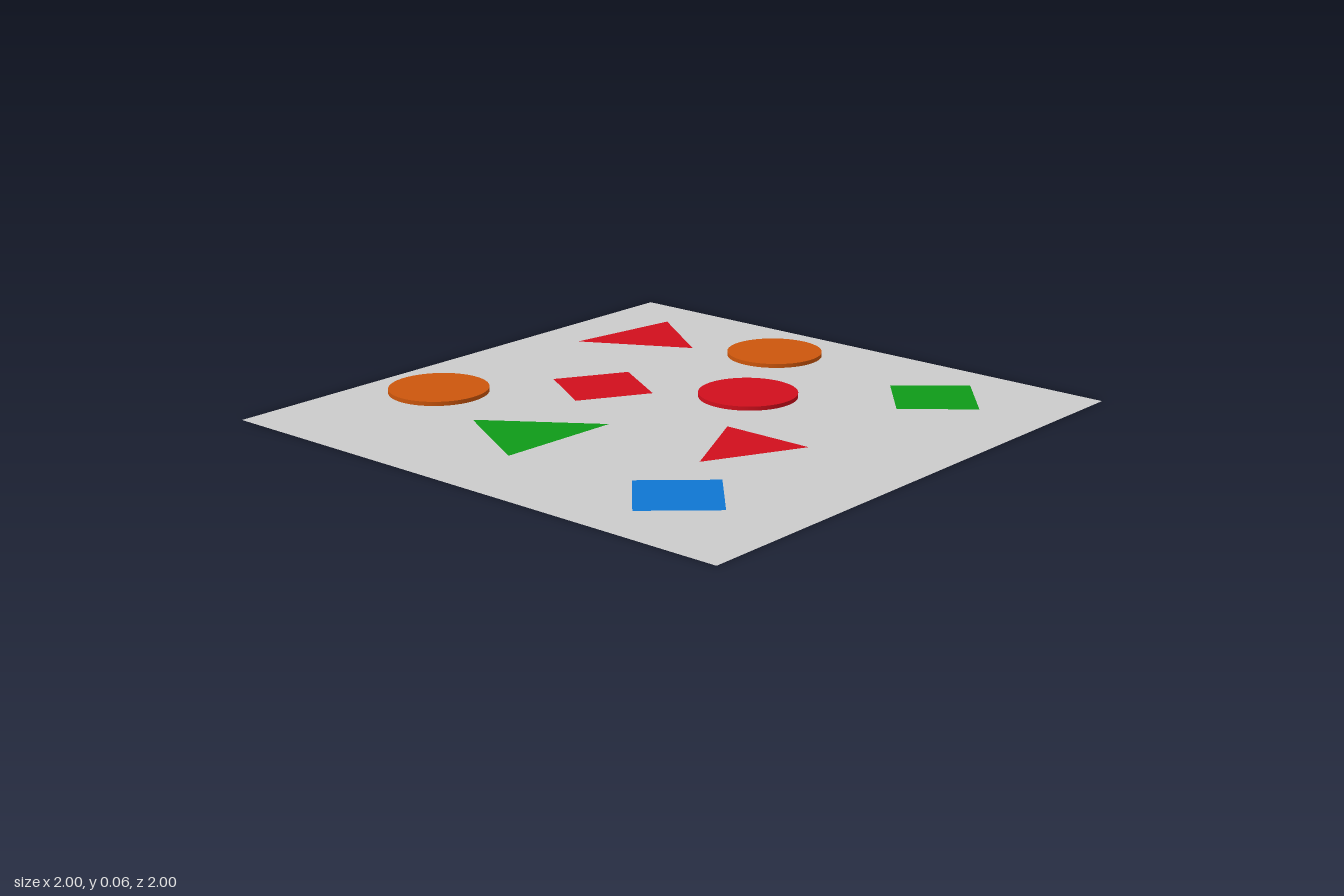
import * as THREE from 'three';

const RED = 0xd10f1c, GREEN = 0x0f9a18, BLUE = 0x0f76d2, ORANGE = 0xcc560c;

function material(color) {
  return new THREE.MeshStandardMaterial({ color, side: THREE.DoubleSide });
}

// Flat polygon lying at height y, corners given as [x, z]
function flatPolygon(name, color, y, corners) {
  const shape = new THREE.Shape(corners.map(([x, z]) => new THREE.Vector2(x, -z)));
  const geometry = new THREE.ShapeGeometry(shape).rotateX(-Math.PI / 2);
  const mesh = new THREE.Mesh(geometry, material(color));
  mesh.name = name;
  mesh.position.y = y;
  return mesh;
}

// Flat square from its centre and one corner offset
function flatSquare(name, color, y, [cx, cz], [dx, dz]) {
  return flatPolygon(name, color, y, [
    [cx + dx, cz + dz], [cx - dz, cz + dx], [cx - dx, cz - dz], [cx + dz, cz - dx],
  ]);
}

// Thin round disc
function disc(name, color, x, y, z) {
  const mesh = new THREE.Mesh(new THREE.CylinderGeometry(0.167, 0.167, 0.014, 64), material(color));
  mesh.name = name;
  mesh.position.set(x, y, z);
  return mesh;
}

export function createModel() {
  const model = new THREE.Group();
  model.name = 'shapeBoard';

  // Base sheet
  const board = new THREE.Mesh(new THREE.PlaneGeometry(2, 2).rotateX(-Math.PI / 2), material(0xcccccc));
  board.name = 'board';
  model.add(board);

  // Discs
  model.add(
    disc('orangeDiscBack', ORANGE, -0.46, 0.051, -0.645),
    disc('orangeDiscLeft', ORANGE, 0.705, 0.016, -0.155),
    disc('redDisc', RED, 0.255, 0.016, 0.09),
  );

  // Squares
  model.add(
    flatSquare('redSquare', RED, 0.017, [0.003, -0.337], [-0.048, -0.183]),
    flatSquare('blueSquare', BLUE, 0.02, [-0.675, 0.584], [0.01, -0.189]),
    flatSquare('greenSquare', GREEN, 0.03, [0.59, 0.607], [0.016, -0.189]),
  );

  // Triangles
  model.add(
    flatPolygon('redTriangleBack', RED, 0.01, [[0.378, -0.8], [0.58, -0.43], [0.796, -0.738]]),
    flatPolygon('greenTriangle', GREEN, 0.036, [[-0.59, -0.353], [-0.775, -0.01], [-0.34, 0.006]]),
    flatPolygon('redTriangleFront', RED, 0.026, [[-0.417, 0.447], [-0.089, 0.61], [-0.089, 0.285]]),
  );
  return model;
}
